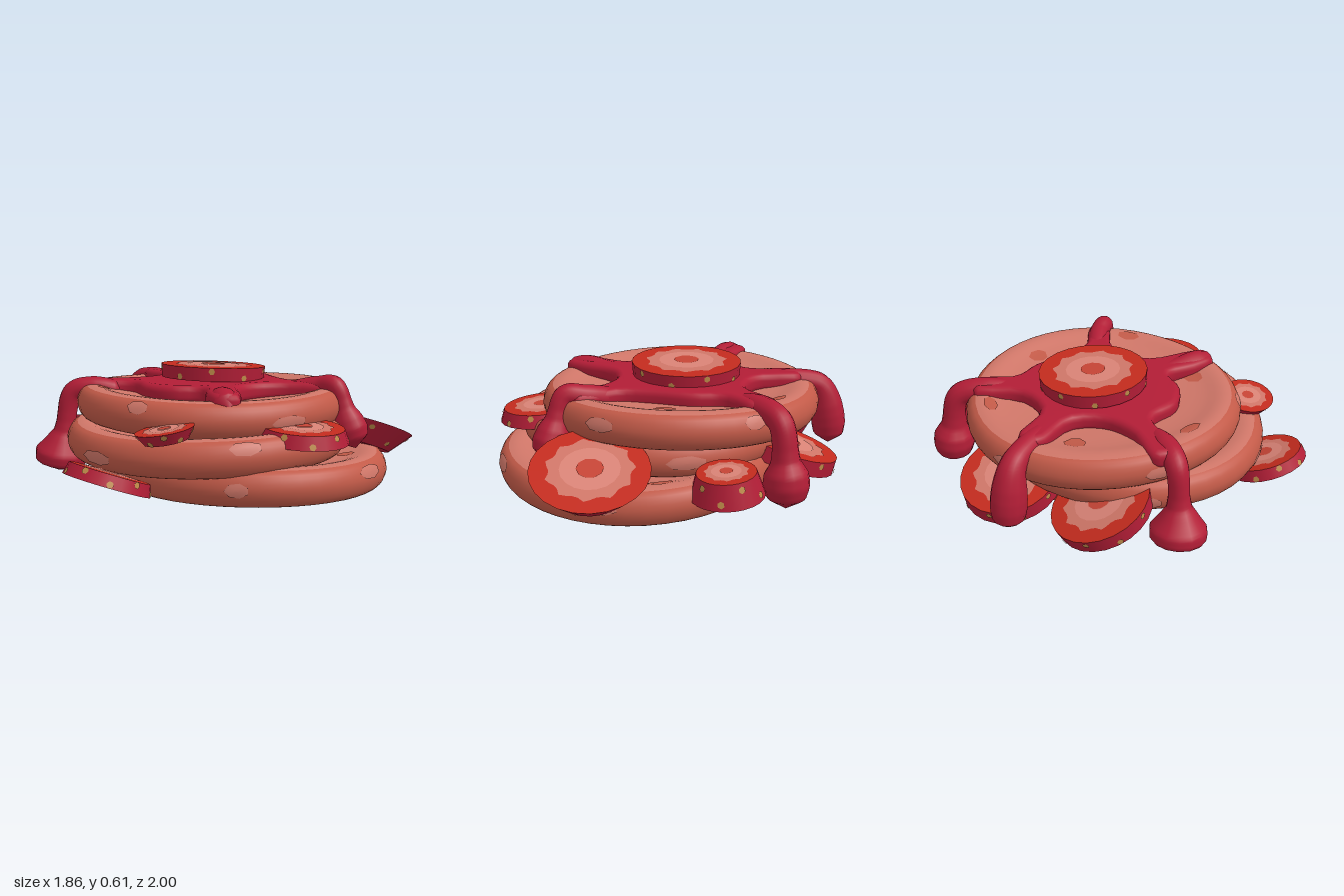
import * as THREE from 'three';
import { mergeVertices } from 'three/addons/utils/BufferGeometryUtils.js';

const mat = (name, color) => {
  const m = new THREE.MeshStandardMaterial({ color });
  m.name = name;
  return m;
};
const batter = mat('batter pink', 0xcf7668);
const crust = mat('baked crust', 0xc25a48);
const syrup = mat('crimson syrup', 0xb21d36);
const red = mat('berry red', 0xc32b1e);
const flesh = mat('berry flesh', 0xd98376);
const core = mat('berry core', 0xc54435);
const seedTan = mat('seed tan', 0xc08c4a);

const V = (x, y, z) => new THREE.Vector3(x, y, z);

function part(parent, name, geometry, material) {
  const mesh = new THREE.Mesh(geometry, material);
  mesh.name = name;
  parent.add(mesh);
  return mesh;
}

// Weld the vertices so the surface shades smoothly
function smooth(geometry) {
  geometry.deleteAttribute('uv');
  geometry.deleteAttribute('normal');
  const g = mergeVertices(geometry, 1e-4);
  g.computeVertexNormals();
  return g;
}

// Half section of a dished pancake, from top centre round the rim to the hollow underside
const profile = new THREE.CatmullRomCurve3([
  [0, 0.034], [0.33, 0.04], [0.52, 0.06], [0.63, 0.088], [0.695, 0.07],
  [0.725, 0], [0.7, -0.07], [0.64, -0.092], [0.575, -0.02], [0.46, 0.018], [0, 0.022],
].map(([r, y]) => V(r, y, 0)));

// Wrap a flat geometry (x = angle, y = place on the profile) onto the pancake
function wrap(geometry, phase, lift = 0) {
  const p = geometry.attributes.position;
  for (let i = 0; i < p.count; i++) {
    const a = p.getX(i);
    const s = THREE.MathUtils.clamp(p.getY(i), 0, 1);
    const c = profile.getPoint(s);
    const t = profile.getTangent(s);
    const r = Math.max(0, c.x - t.y * lift) * (1 + 0.01 * Math.sin(3 * a + phase));
    const y = c.y + t.x * lift + 0.016 * r * Math.sin(2 * a + phase);
    p.setXYZ(i, r * Math.cos(a), y, r * Math.sin(a));
  }
  return smooth(geometry);
}

function pancake(parent, name, x, y, z, phase) {
  const g = new THREE.Group();
  g.name = name;
  g.position.set(x, y, z);
  const bands = [['topFace', 0, 0.36, batter], ['rim', 0.36, 0.72, crust], ['underside', 0.72, 1, batter]];
  for (const [label, s0, s1, m] of bands) {
    const sheet = new THREE.PlaneGeometry(Math.PI * 2, s1 - s0, 48, 14);
    sheet.translate(Math.PI, (s0 + s1) / 2, 0);
    part(g, label, wrap(sheet, phase), m);
  }
  // Baked patches on the face, the rim and the underside
  const patch = (a, s, wa, ws, m) => {
    const spot = new THREE.RingGeometry(0.001, 1, 7, 4);
    spot.scale(wa, ws, 1).translate(a, s, 0);
    part(g, 'bakedPatch', wrap(spot, phase, 0.004), m);
  };
  for (let i = 0; i < 6; i++) {
    const a = i * 1.05 + phase;
    patch(a, i % 2 ? 0.2 : 0.27, 0.11, 0.034, crust);
    patch(a + 0.4, 0.48 + 0.05 * Math.sin(i * 2.3 + phase), 0.08 + 0.03 * (i % 3), 0.045, batter);
    patch(a + 0.8, 0.93, 0.2, 0.018, crust);
  }
  parent.add(g);
}

// Jagged pale star inside a cut berry
function starGeometry(r) {
  const pts = [];
  for (let i = 0; i < 44; i++) {
    const k = r * [0.67, 0.68, 0.75, 0.71][i % 4];
    const a = (i / 44) * Math.PI * 2;
    pts.push(new THREE.Vector2(k * Math.cos(a), k * Math.sin(a)));
  }
  return new THREE.ShapeGeometry(new THREE.Shape(pts));
}

function berrySlice(parent, name, pos, rTop, rBottom, h, normal, cutBelow = true) {
  const g = new THREE.Group();
  g.name = name;
  g.position.set(...pos);
  g.quaternion.setFromUnitVectors(V(0, 1, 0), V(...normal).normalize());
  part(g, 'sliceBody', new THREE.CylinderGeometry(rTop, rBottom, h, 24), [syrup, red, cutBelow ? red : syrup]);
  // Painted cut faces
  for (const side of cutBelow ? [1, -1] : [1]) {
    const r = side > 0 ? rTop : rBottom;
    const layers = [['fleshStar', starGeometry(r), batter], ['paleRing', new THREE.RingGeometry(r * 0.23, r * 0.5, 18), flesh],
      ['core', new THREE.CircleGeometry(r * 0.23, 10), core]];
    layers.forEach(([label, geo, m], i) => {
      const plate = part(g, label, geo, m);
      plate.rotation.x = -side * Math.PI / 2;
      plate.position.y = side * (h / 2 + 0.002 * (i + 1));
    });
  }
  // Seeds around the skin
  const slope = (rBottom - rTop) / h;
  for (let i = 0; i < 10; i++) {
    const a = i * 0.63 + rTop * 9;
    const y = h * 0.24 * (i % 2 ? 1 : -1);
    const r = (rTop + rBottom) / 2 - slope * y;
    const n = V(Math.cos(a), slope, Math.sin(a)).normalize();
    const seed = part(g, 'seed', new THREE.CircleGeometry(0.017, 6), seedTan);
    seed.position.set(r * Math.cos(a), y, r * Math.sin(a)).addScaledVector(n, 0.003);
    seed.quaternion.setFromUnitVectors(V(0, 0, 1), n);
  }
  parent.add(g);
}

// Tube of changing thickness along a path
function drip(parent, points, radii) {
  const curve = new THREE.CatmullRomCurve3(points.map((p) => V(...p)));
  const n = 56, sides = 14;
  const geo = new THREE.TubeGeometry(curve, n, 1, sides);
  const p = geo.attributes.position;
  const v = V(0, 0, 0);
  for (let i = 0; i <= n; i++) {
    const c = curve.getPointAt(i / n);
    const f = (i / n) * (radii.length - 1);
    const k = Math.min(Math.floor(f), radii.length - 2);
    const r = THREE.MathUtils.lerp(radii[k], radii[k + 1], f - k);
    for (let j = 0; j <= sides; j++) {
      const id = i * (sides + 1) + j;
      v.fromBufferAttribute(p, id).sub(c).multiplyScalar(r).add(c);
      p.setXYZ(id, v.x, v.y, v.z);
    }
  }
  part(parent, 'syrupDrip', smooth(geo), syrup);
}

function syrupPool(parent) {
  const g = new THREE.Group();
  g.name = 'syrup';
  // Pool outline seen from above, as x and z
  const outline = [[-0.31, -0.62], [-0.2, -0.48], [-0.05, -0.46], [0.15, -0.38], [0.3, -0.35], [0.5, -0.44],
    [0.56, -0.36], [0.38, -0.23], [0.31, -0.1], [0.33, 0.05], [0.5, 0.19], [0.57, 0.27], [0.5, 0.35],
    [0.38, 0.31], [0.23, 0.22], [0.14, 0.33], [-0.03, 0.39], [-0.2, 0.35], [-0.31, 0.49], [-0.4, 0.58],
    [-0.48, 0.5], [-0.36, 0.32], [-0.33, 0.15], [-0.42, 0.01], [-0.65, -0.02], [-0.66, -0.14],
    [-0.42, -0.17], [-0.33, -0.35], [-0.44, -0.58]];
  const loop = new THREE.CatmullRomCurve3(outline.map(([x, z]) => V(x, -z, 0)), true);
  const shape = new THREE.Shape(loop.getPoints(100).slice(0, -1).map((q) => new THREE.Vector2(q.x, q.y)));
  const pool = new THREE.ExtrudeGeometry(shape, {
    depth: 0.025, bevelThickness: 0.035, bevelSize: 0.035, bevelOffset: -0.035, bevelSegments: 4,
  });
  pool.rotateX(-Math.PI / 2).translate(0, 0.47, 0);
  part(g, 'syrupPool', smooth(pool), syrup);

  // Drips running over the rim and ending in heavy drops
  drip(g, [[-0.25, 0.46, -0.42], [-0.36, 0.485, -0.58], [-0.43, 0.45, -0.69], [-0.455, 0.25, -0.73], [-0.46, 0.04, -0.745]],
    [0, 0.055, 0.06, 0.062, 0.062, 0.06, 0.06, 0.06, 0.062, 0.07, 0.105, 0.112, 0.095, 0]);
  drip(g, [[-0.26, 0.46, 0.36], [-0.36, 0.485, 0.51], [-0.42, 0.46, 0.59], [-0.45, 0.25, 0.63], [-0.49, 0.03, 0.65]],
    [0, 0.055, 0.06, 0.062, 0.06, 0.056, 0.054, 0.052, 0.053, 0.062, 0.1, 0.142, 0.138, 0]);
  drip(g, [[-0.45, 0.46, -0.08], [-0.66, 0.475, -0.08], [-0.78, 0.44, -0.08], [-0.835, 0.27, -0.08], [-0.845, 0.115, -0.08]],
    [0, 0.055, 0.06, 0.06, 0.06, 0.06, 0.065, 0.075, 0.085, 0.09, 0.09, 0.08, 0]);
  drip(g, [[0.3, 0.46, -0.28], [0.47, 0.505, -0.365], [0.565, 0.515, -0.385], [0.615, 0.38, -0.41], [0.665, 0.2, -0.445]],
    [0, 0.055, 0.058, 0.058, 0.056, 0.054, 0.05, 0.05, 0.058, 0.08, 0.092, 0.08, 0]);
  drip(g, [[0.15, 0.45, 0.08], [0.35, 0.465, 0.2], [0.47, 0.475, 0.27], [0.57, 0.45, 0.315]],
    [0, 0.06, 0.066, 0.068, 0.07, 0.072, 0.075, 0.075, 0.07, 0]);
  parent.add(g);
}

export function createModel() {
  const model = new THREE.Group();
  model.name = 'pancakeStack';

  pancake(model, 'bottomPancake', 0.2, 0.104, -0.13, 0.4);
  pancake(model, 'middlePancake', 0.08, 0.256, 0.07, 2.1);
  pancake(model, 'topPancake', -0.03, 0.412, -0.04, 3.9);
  syrupPool(model);

  berrySlice(model, 'topSlice', [-0.06, 0.563, -0.08], 0.285, 0.28, 0.07, [0, 1, -0.04]);
  berrySlice(model, 'backRightSlice', [0.45, 0.215, -0.715], 0.28, 0.18, 0.12, [0, 0.935, -0.355], false);
  berrySlice(model, 'backSlice', [-0.17, 0.2, -0.79], 0.14, 0.175, 0.115, [0.08, 1, -0.04]);
  berrySlice(model, 'backLeftSlice', [-0.57, 0.16, -0.27], 0.26, 0.265, 0.08, [-0.3, 0.95, 0]);
  berrySlice(model, 'frontLeftSlice', [-0.58, 0.2, 0.285], 0.255, 0.245, 0.08, [-0.27, 0.92, -0.24]);
  berrySlice(model, 'rightSlice', [0.698, 0.333, -0.025], 0.2, 0.225, 0.065, [0.07, 1, 0]);
  berrySlice(model, 'frontRightSlice', [0.445, 0.357, 0.595], 0.14, 0.105, 0.055, [-0.08, 1, 0.14]);
  berrySlice(model, 'frontSlice', [0.27, 0.148, 0.795], 0.195, 0.21, 0.06, [0, 0.93, -0.36]);
  return model;
}
